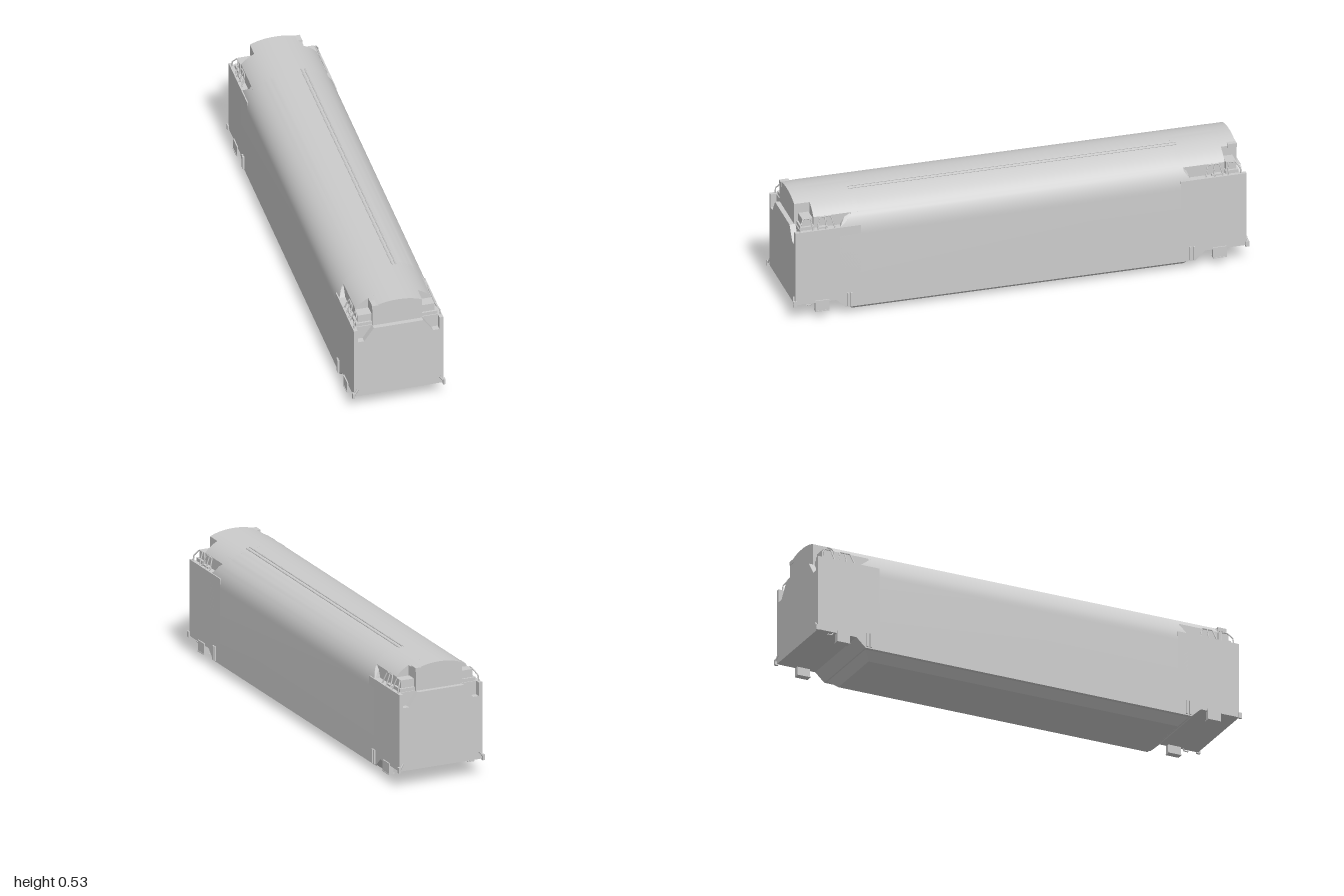
import * as THREE from 'three';
import { toCreasedNormals } from 'three/addons/utils/BufferGeometryUtils.js';

const HALF = 0.195, SPRING = 0.41, RISE = 0.155;
const mat = new THREE.MeshStandardMaterial({ color: 0xcccccc, side: THREE.DoubleSide });

// Height of the arched roof at a given x
const roofY = x => SPRING + RISE * Math.pow(Math.max(0, 1 - Math.pow(Math.abs(x) / HALF, 2.2)), 1 / 2.2);

function add(parent, name, geometry) {
  const mesh = new THREE.Mesh(geometry, mat);
  mesh.name = name;
  parent.add(mesh);
  return mesh;
}

// Box given by its limits
function box(parent, name, x0, x1, y0, y1, z0, z1) {
  const g = new THREE.BoxGeometry(Math.abs(x1 - x0), y1 - y0, z1 - z0);
  g.translate((x0 + x1) / 2, (y0 + y1) / 2, (z0 + z1) / 2);
  return add(parent, name, g);
}

// Round bar through a list of points
function bar(parent, name, points, radius = 0.003) {
  const path = new THREE.CurvePath();
  const v = points.map(p => new THREE.Vector3(...p));
  for (let i = 1; i < v.length; i++) path.add(new THREE.LineCurve3(v[i - 1], v[i]));
  return add(parent, name, new THREE.TubeGeometry(path, 8 * (v.length - 1), radius, 6));
}

function extrude(points, z0, z1) {
  const shape = new THREE.Shape(points.map(p => new THREE.Vector2(...p)));
  const g = new THREE.ExtrudeGeometry(shape, { depth: z1 - z0, bevelEnabled: false });
  return g.translate(0, 0, z0);
}

// Arched section, cut off at half width w, standing on height base
function arch(w, base, z0, z1) {
  const points = [[-w, base], [w, base]];
  const limit = Math.asin(w / HALF), n = 40;
  for (let i = 0; i <= n; i++) {
    const x = HALF * Math.sin(limit * (1 - 2 * i / n));
    points.push([x, roofY(x)]);
  }
  return extrude(points, z0, z1);
}

function buildEnd(name) {
  const end = new THREE.Group();
  end.name = name;

  box(end, 'endBody', -HALF, HALF, 0.11, 0.45, 0.7, 0.962);

  // End wall with a sloping notch at each upper corner
  const right = [[HALF, 0.11], [HALF, 0.45], [0.178, 0.45], [0.178, 0.39], [0.15, 0.39], [0.108, 0.45]];
  const left = right.map(([x, y]) => [-x, y]).reverse();
  add(end, 'endWall', extrude([...right, ...left], 0.962, 0.988));

  // Inset end roof and its narrower nose
  add(end, 'endRoof', toCreasedNormals(arch(0.165, 0.45, 0.7, 0.9), 0.5));
  add(end, 'roofNose', toCreasedNormals(arch(0.108, 0.45, 0.89, 0.968), 0.5));
  box(end, 'roofHatchRim', -0.11, -0.075, 0.535, 0.552, 0.93, 0.97);

  for (const s of [-1, 1]) {
    // Equipment on the shoulder
    box(end, 'cornerBase', s * 0.105, s * 0.178, 0.45, 0.465, 0.9, 0.958);
    box(end, 'cornerBox', s * 0.105, s * 0.168, 0.465, 0.5, 0.905, 0.95);
    box(end, 'shoulderLedge', s * 0.16, s * 0.182, 0.45, 0.457, 0.84, 0.885);

    // Leaning grab rails
    const foot = [0.19 * s, 0.443], head = [0.17 * s, 0.5];
    bar(end, 'shoulderRail', [[...foot, 0.965], [0.186 * s, 0.475, 0.963], [...head, 0.945],
      [...head, 0.915], [...foot, 0.905]]);
    bar(end, 'shoulderRail', [[...foot, 0.89], [...head, 0.875], [...head, 0.825], [...foot, 0.81]]);
    bar(end, 'shoulderPost', [[...foot, 0.85], [...head, 0.85]]);

    // Fittings along the lower edge
    box(end, 'stepBlock', s * 0.178, s * 0.2, 0.07, 0.12, 0.84, 0.9);
    box(end, 'stepTread', s * 0.172, s * 0.202, 0.07, 0.074, 0.84, 0.9);
    bar(end, 'cornerLever', [[0.178 * s, 0.145, 0.99], [0.198 * s, 0.118, 0.995]], 0.004);
    box(end, 'cornerBracket', s * 0.192, s * 0.202, 0.105, 0.13, 0.982, 0.998);
    for (const z of [0.742, 0.757])
      box(end, 'sideGrip', s * 0.193, s * 0.202, 0.075, 0.138, z - 0.004, z + 0.004);
  }
  bar(end, 'lowerHose', [[0.185, 0.115, 0.91], [0.187, 0.1, 0.92], [0.187, 0.1, 0.938]], 0.003);
  return end;
}

export function createModel() {
  const model = new THREE.Group();
  model.name = 'railCarBody';

  // Long arched hull; its ends step across the roof and flare out at the shoulders
  const hull = arch(HALF, 0.11, -0.72, 0.72);
  const p = hull.attributes.position;
  for (let i = 0; i < p.count; i++) {
    const s = Math.sign(p.getZ(i)), y = p.getY(i), long = p.getX(i) * s > 0.13;
    let z = long ? 0.738 : 0.718;
    if (y < 0.49) z += (long ? 0.055 : 0.03) * Math.min(1, (0.49 - y) / 0.045);
    p.setZ(i, s * z);
  }
  add(model, 'hull', toCreasedNormals(hull, 0.5));

  // Lower side skirt, sloping up toward the ends
  const skirt = extrude([[-0.765, 0.07], [0.765, 0.07], [0.81, 0.112], [-0.81, 0.112]], -HALF, HALF);
  skirt.rotateY(Math.PI / 2);
  add(model, 'skirt', skirt);

  // Belly pan, tapered on all four sides
  const pan = new THREE.BoxGeometry(0.36, 0.036, 1.52).translate(0, 0.054, 0);
  const q = pan.attributes.position;
  for (let i = 0; i < q.count; i++)
    if (q.getY(i) < 0.05) q.setXYZ(i, Math.sign(q.getX(i)) * 0.143, 0.036, Math.sign(q.getZ(i)) * 0.725);
  pan.computeVertexNormals();
  add(model, 'bellyPan', pan);

  // Twin conduits along the roof
  for (const x of [0.046, 0.062])
    bar(model, 'roofConduit', [[x, roofY(x) + 0.001, -0.72], [x, roofY(x) + 0.001, 0.72]], 0.003);

  // Both ends are the same, turned half a circle
  const front = buildEnd('frontEnd'), back = buildEnd('backEnd');
  back.rotation.y = Math.PI;
  model.add(front, back);
  return model;
}
